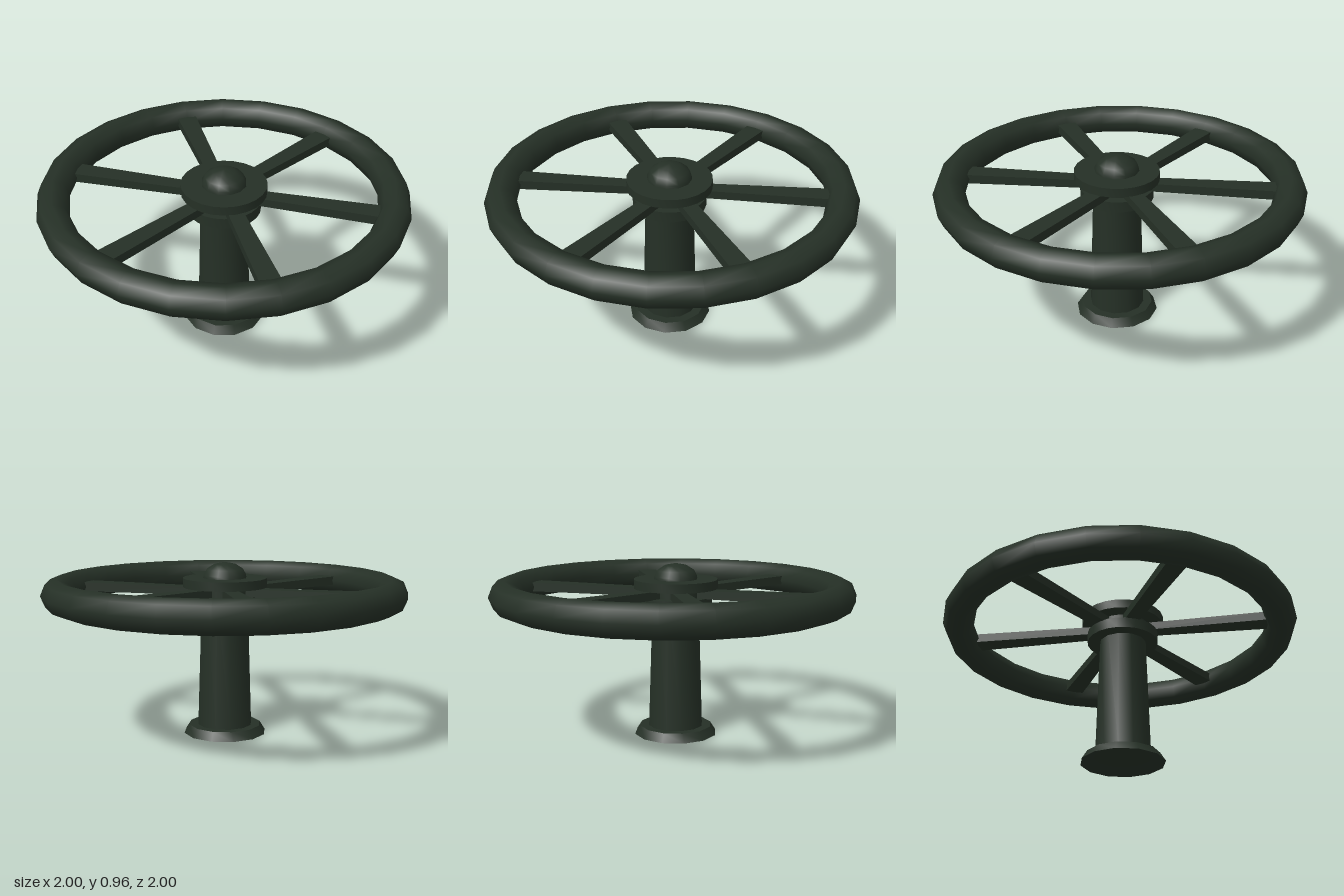
import * as THREE from 'three';
import { toCreasedNormals } from 'three/addons/utils/BufferGeometryUtils.js';

const iron = new THREE.MeshStandardMaterial({ color: 0x253026 });
iron.name = 'dark green iron';

function add(parent, name, geometry) {
  const mesh = new THREE.Mesh(geometry, iron);
  mesh.name = name;
  parent.add(mesh);
  return mesh;
}

// Turned part: profile of [radius, height], from the bottom up
function turned(profile, sides) {
  const points = profile.map(([r, y]) => new THREE.Vector2(r, y));
  return toCreasedNormals(new THREE.LatheGeometry(points, sides), 0.85);
}

// Flat bar along +z, slightly wider and thicker at the rim
function spokeGeometry(inner, outer) {
  const geometry = new THREE.BoxGeometry(1, 1, outer - inner);
  geometry.translate(0, 0, (inner + outer) / 2);
  const p = geometry.attributes.position;
  for (let i = 0; i < p.count; i++) {
    const t = (p.getZ(i) - inner) / (outer - inner);
    p.setX(i, p.getX(i) * THREE.MathUtils.lerp(0.076, 0.111, t));
    p.setY(i, p.getY(i) * THREE.MathUtils.lerp(0.044, 0.05, t));
  }
  geometry.computeVertexNormals();
  return geometry;
}

export function createModel() {
  const model = new THREE.Group();
  model.name = 'handwheel';

  // Wheel rim
  const rim = add(model, 'rim', new THREE.TorusGeometry(0.9135, 0.0865, 8, 24));
  rim.rotation.x = Math.PI / 2;
  rim.position.y = 0.8;

  // Six spokes
  const bar = spokeGeometry(0.1, 0.85);
  for (let i = 0; i < 6; i++) {
    const spoke = add(model, 'spoke', bar);
    spoke.position.y = 0.8;
    spoke.rotation.y = (i * Math.PI) / 3;
  }

  // Stem and hub sit a touch off the rim's centre
  const stem = new THREE.Group();
  stem.name = 'stem';
  stem.position.set(-0.004, 0, 0.018);
  model.add(stem);

  add(stem, 'hub', turned([
    [0, 0.72], [0.2, 0.72], [0.2, 0.78], [0.15, 0.78],
    [0.15, 0.825], [0.232, 0.825], [0.232, 0.875], [0, 0.875],
  ], 24));

  add(stem, 'domeNut', turned([
    [0.122, 0.87], [0.12, 0.89], [0.103, 0.922], [0.06, 0.95], [0, 0.962],
  ], 12));

  add(stem, 'column', turned([[0.153, 0.04], [0.131, 0.73]], 12));

  // Flared foot, hollowed underneath
  add(stem, 'foot', turned([
    [0, 0.035], [0.155, 0.035], [0.232, 0], [0.202, 0.047], [0.13, 0.047],
  ], 12));

  return model;
}
